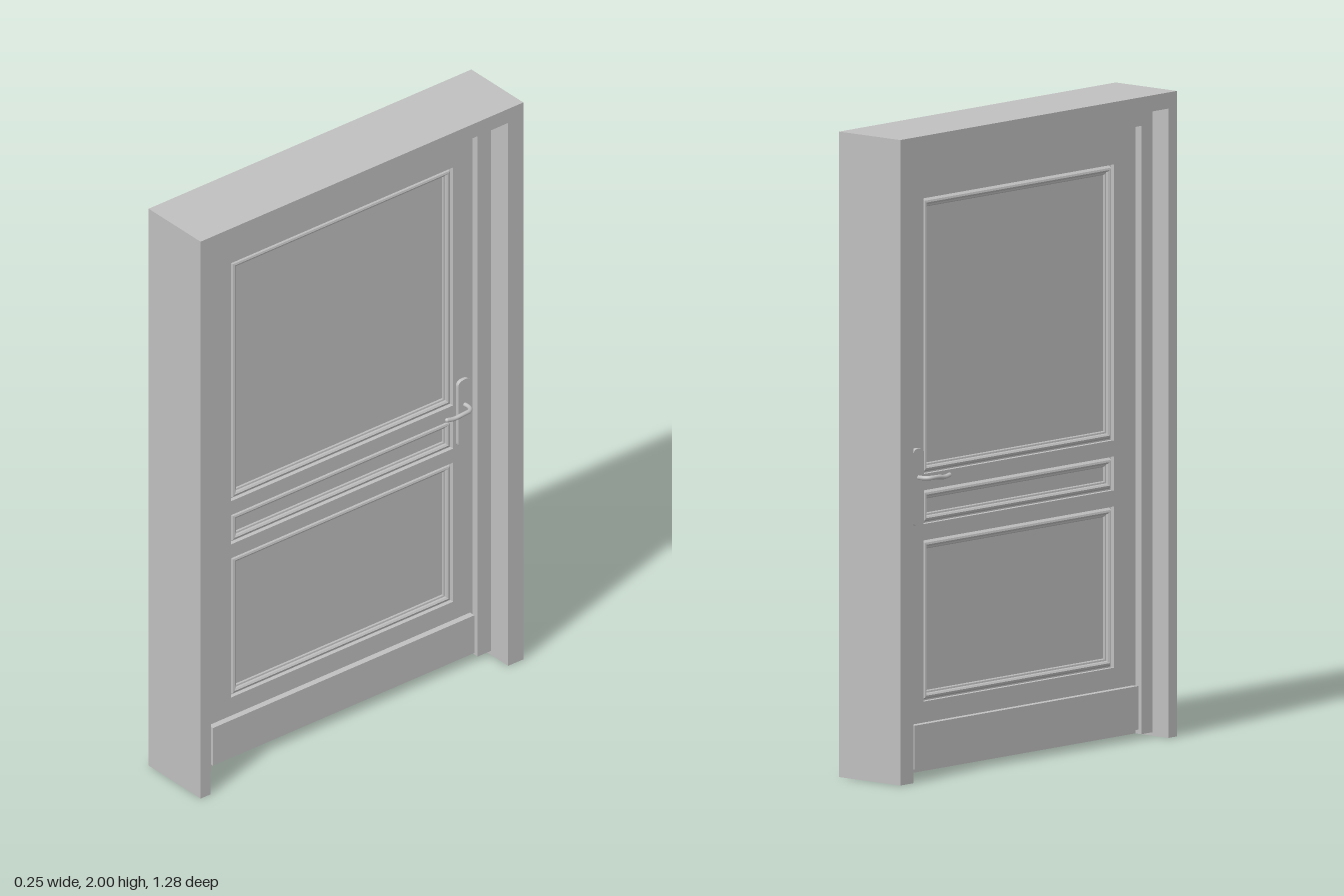
import * as THREE from 'three';

const grey = new THREE.MeshStandardMaterial({ color: 0xc0c0c0 });
grey.name = 'grey paint';

const LEAF_X = -0.0175; // centre plane of the door leaf
const FACE = 0.035;     // half thickness of stiles and rails
const RIM = 0.06;       // half thickness of the raised rim
const PANEL = 0.019;    // half thickness of the sunk panels

// Panel openings: z min, z max, y min, y max
const panels = [
  ['upperPanel', -0.45, 0.43, 0.935, 1.79],
  ['middlePanel', -0.45, 0.43, 0.78, 0.885],
  ['lowerPanel', -0.45, 0.43, 0.23, 0.73],
];

function add(parent, name, geometry, x = 0, y = 0, z = 0) {
  const mesh = new THREE.Mesh(geometry, grey);
  mesh.name = name;
  mesh.position.set(x, y, z);
  parent.add(mesh);
  return mesh;
}

function box(parent, name, x0, x1, y0, y1, z0, z1) {
  return add(parent, name, new THREE.BoxGeometry(x1 - x0, y1 - y0, z1 - z0),
    (x0 + x1) / 2, (y0 + y1) / 2, (z0 + z1) / 2);
}

// Slab drawn in the (z, y) plane with its thickness centred along x
function slab(shape, thickness) {
  return new THREE.ExtrudeGeometry(shape, { depth: thickness, bevelEnabled: false, curveSegments: 10 })
    .translate(0, 0, -thickness / 2)
    .rotateY(-Math.PI / 2);
}

function polygon(points) {
  return new THREE.Shape(points.map(([z, y]) => new THREE.Vector2(z, y)));
}

// Two uprights and a head, open at the bottom
function archway(z0, z1, y0, y1, innerZ0, innerZ1, innerY) {
  return polygon([[z0, y0], [innerZ0, y0], [innerZ0, innerY], [innerZ1, innerY],
    [innerZ1, y0], [z1, y0], [z1, y1], [z0, y1]]);
}

// Mitred moulding swept round a rectangle; profile gives [inset, x height]
function moulding(z0, z1, y0, y1, profile, side) {
  const loops = profile.map(([d, h]) => [
    [side * h, y0 + d, z1 - d], [side * h, y0 + d, z0 + d],
    [side * h, y1 - d, z0 + d], [side * h, y1 - d, z1 - d],
  ]);
  const position = [];
  for (let i = 0; i < loops.length - 1; i++) {
    for (let k = 0; k < 4; k++) {
      const n = (k + 1) % 4;
      const a = loops[i][k], b = loops[i][n], c = loops[i + 1][n], d = loops[i + 1][k];
      const corners = side > 0 ? [a, b, c, a, c, d] : [a, c, b, a, d, c];
      position.push(...corners.flat());
    }
  }
  const geometry = new THREE.BufferGeometry();
  geometry.setAttribute('position', new THREE.Float32BufferAttribute(position, 3));
  geometry.computeVertexNormals();
  return geometry;
}

// Back plate, spindle and curved lever on one side of the door
function makeHandle(side) {
  const handle = new THREE.Group();
  handle.name = side > 0 ? 'leftHandle' : 'rightHandle';
  const z = -0.486, r = 0.025;
  const plate = new THREE.Shape();
  plate.moveTo(-r, -0.1);
  plate.quadraticCurveTo(-r, -0.12, 0, -0.12);
  plate.quadraticCurveTo(r, -0.12, r, -0.1);
  plate.lineTo(r, 0.1);
  plate.quadraticCurveTo(r, 0.12, 0, 0.12);
  plate.quadraticCurveTo(-r, 0.12, -r, 0.1);
  plate.closePath();
  add(handle, 'handlePlate', slab(plate, 0.012), side * (FACE + 0.006), 0.9, z);

  const path = new THREE.CatmullRomCurve3([
    [FACE, 0.93, z], [0.07, 0.93, z], [0.086, 0.931, z + 0.012],
    [0.09, 0.931, z + 0.04], [0.087, 0.927, z + 0.075], [0.084, 0.93, z + 0.1],
  ].map(([x, y, pz]) => new THREE.Vector3(side * x, y, pz)));
  add(handle, 'lever', new THREE.TubeGeometry(path, 24, 0.007, 10, false));
  add(handle, 'leverTip', new THREE.SphereGeometry(0.007, 10, 8), side * 0.084, 0.93, z + 0.1);
  return handle;
}

export function createModel() {
  const model = new THREE.Group();
  model.name = 'panelledDoor';

  // Outer wall frame
  add(model, 'frame', slab(archway(-0.64, 0.64, 0, 2, -0.58, 0.6, 1.95), 0.25));

  const leaf = new THREE.Group();
  leaf.name = 'doorLeaf';
  leaf.position.x = LEAF_X;
  model.add(leaf);

  // Raised rim round the sides and top
  add(leaf, 'rim', slab(archway(-0.579, 0.58, 0.015, 1.95, -0.527, 0.53, 1.9), RIM * 2));

  // Stiles and rails with openings for the panels
  const rails = polygon([[-0.527, 0.015], [0.53, 0.015], [0.53, 1.9], [-0.527, 1.9]]);
  for (const [, z0, z1, y0, y1] of panels) {
    rails.holes.push(new THREE.Path([[z0, y0], [z0, y1], [z1, y1], [z1, y0]]
      .map(([z, y]) => new THREE.Vector2(z, y))));
  }
  add(leaf, 'stilesAndRails', slab(rails, FACE * 2));

  // Sunk panels with stepped mouldings on both faces
  const profile = [[0, 0.021], [0.004, 0.021], [0.01, 0.031], [0.016, 0.033],
    [0.021, 0.029], [0.023, 0.024], [0.028, 0.023], [0.031, PANEL]];
  for (const [name, z0, z1, y0, y1] of panels) {
    box(leaf, name, -PANEL, PANEL, y0, y1, z0, z1);
    for (const side of [1, -1]) {
      add(leaf, name + 'Moulding', moulding(z0, z1, y0, y1, profile, side));
    }
  }

  // Kick plates and handles on both faces
  for (const side of [1, -1]) {
    const x = [side * FACE, side * 0.056].sort((a, b) => a - b);
    box(leaf, 'kickPlate', x[0], x[1], 0.03, 0.165, -0.517, 0.52);
    leaf.add(makeHandle(side));
  }

  // Hinges bridging the gap to the frame
  for (const y of [1.71, 0.43]) {
    const hinge = new THREE.Group();
    hinge.name = 'hinge';
    hinge.position.set(LEAF_X, y, 0.59);
    add(hinge, 'hingeBarrel', new THREE.CylinderGeometry(0.009, 0.009, 0.09, 12));
    box(hinge, 'hingeLeaf', -0.04, 0.04, -0.042, 0.042, -0.01, -0.006);
    box(hinge, 'hingeLeaf', -0.04, 0.04, -0.042, 0.042, 0.006, 0.01);
    model.add(hinge);
  }

  return model;
}
